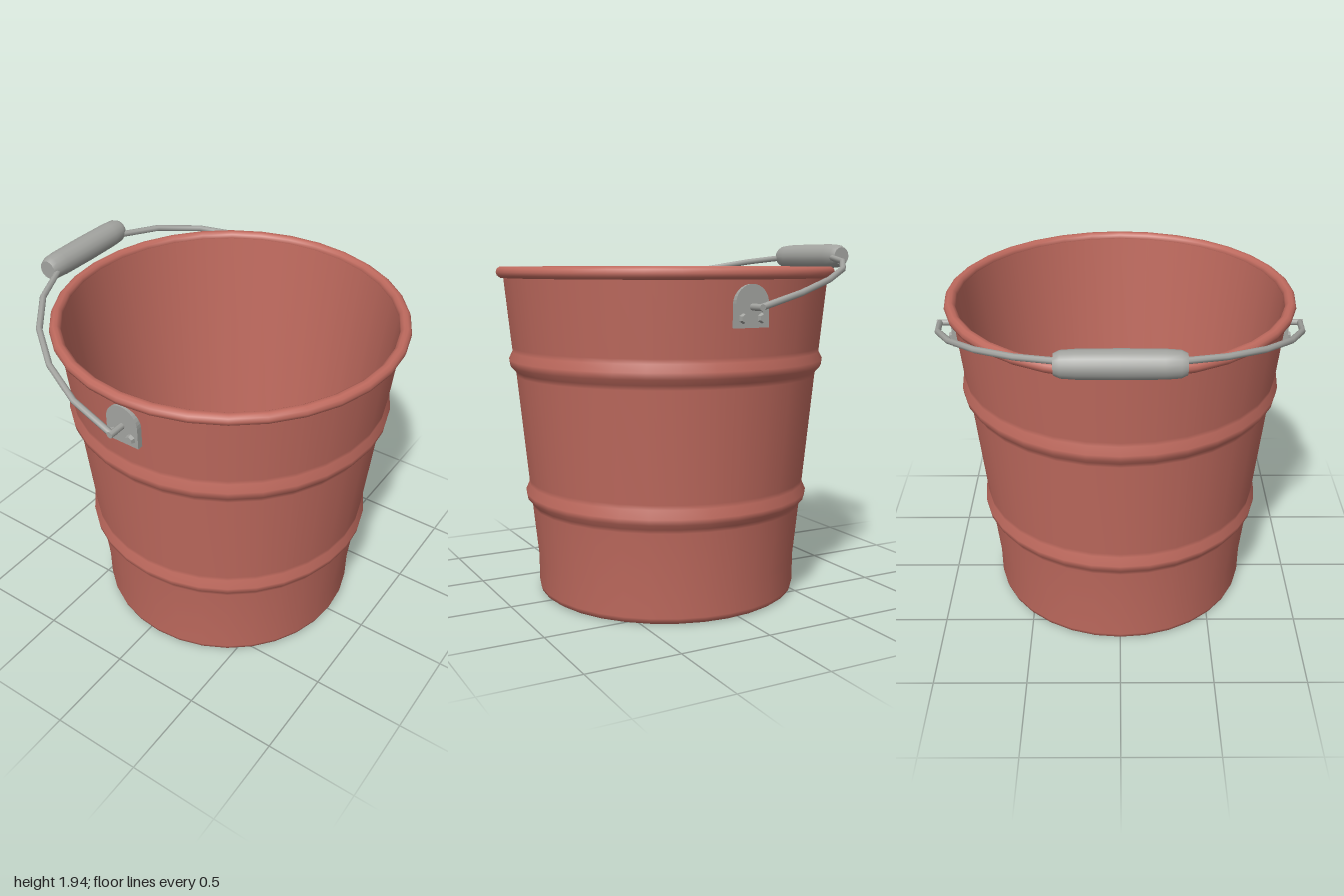
import * as THREE from 'three';

export function createModel() {
  const red = new THREE.MeshStandardMaterial({ color: 0xbf6a5e });
  red.name = 'red paint';
  const steel = new THREE.MeshStandardMaterial({ color: 0xa3a4a0 });
  steel.name = 'grey steel';

  const model = new THREE.Group();
  model.name = 'bucket';
  const body = new THREE.Group();
  body.name = 'body';
  body.position.x = 0.06; // the handle hangs to one side
  model.add(body);

  const add = (parent, name, geometry, material, x = 0, y = 0, z = 0) => {
    const mesh = new THREE.Mesh(geometry, material);
    mesh.name = name;
    mesh.position.set(x, y, z);
    parent.add(mesh);
    return mesh;
  };
  const lathe = (name, points) => add(body, name,
    new THREE.LatheGeometry(points.map(p => new THREE.Vector2(...p)), 32), red);

  // Shell: ribbed outside, plain inside, recessed base
  lathe('outerWall', [
    [0.70, 0], [0.718, 0.012], [0.725, 0.035], [0.727, 0.19], [0.758, 0.49],
    [0.763, 0.512], [0.788, 0.54], [0.792, 0.57], [0.772, 0.615], [0.774, 0.64],
    [0.831, 1.22], [0.837, 1.245], [0.865, 1.275], [0.87, 1.31], [0.85, 1.35],
    [0.853, 1.375], [0.893, 1.77],
  ]);
  lathe('innerWall', [[0.87, 1.78], [0.68, 0.08]]);
  lathe('floor', [[0.68, 0.08], [0, 0.08]]);
  lathe('baseRing', [[0.68, 0], [0.70, 0]]);
  lathe('baseLip', [[0.62, 0.06], [0.68, 0]]);
  lathe('underside', [[0, 0.06], [0.62, 0.06]]);

  // Rolled rim
  const rim = new THREE.TorusGeometry(0.9, 0.031, 10, 32);
  rim.rotateX(Math.PI / 2);
  add(body, 'rim', rim, red, 0, 1.78, 0);

  // Ear plates with bolts and pivot pins, front and back
  const plate = new THREE.Shape();
  plate.moveTo(-0.093, 1.52);
  plate.lineTo(0.093, 1.52);
  plate.lineTo(0.093, 1.637);
  plate.absarc(0, 1.637, 0.093, 0, Math.PI, false);
  plate.closePath();
  for (const side of [1, -1]) {
    const ear = new THREE.Group();
    ear.name = side > 0 ? 'frontEar' : 'backEar';
    ear.rotation.y = side > 0 ? 0 : Math.PI;
    body.add(ear);
    add(ear, 'earPlate', new THREE.ExtrudeGeometry(plate,
      { depth: 0.03, bevelEnabled: false, curveSegments: 8 }), steel, 0, 0, 0.87);
    for (const x of [-0.052, 0.052]) {
      const bolt = new THREE.CylinderGeometry(0.02, 0.028, 0.025, 6).toNonIndexed();
      bolt.computeVertexNormals();
      bolt.rotateX(Math.PI / 2);
      add(ear, 'bolt', bolt, steel, x, 1.566, 0.907);
    }
    const pin = new THREE.CylinderGeometry(0.017, 0.017, 0.11, 8);
    pin.rotateX(Math.PI / 2);
    add(ear, 'pivotPin', pin, steel, 0, 1.62, 0.935);
  }

  // Wire handle, tilted over the left of the front view
  const wire = new THREE.TorusGeometry(1, 0.017, 8, 12, Math.PI);
  wire.scale(0.975, 1.01, 1);
  wire.rotateY(Math.PI / 2);
  wire.rotateZ(1.321);
  add(body, 'handleWire', wire, steel, 0, 1.62, 0);

  // Grip: rounded sleeve on the wire, with flat ends
  const sleeve = [[0.05, -0.3], [0.064, -0.27], [0.069, -0.2], [0.071, 0],
    [0.069, 0.2], [0.064, 0.27], [0.05, 0.3]];
  const grip = new THREE.LatheGeometry(sleeve.map(p => new THREE.Vector2(...p)), 16);
  grip.rotateX(Math.PI / 2);
  add(model, 'grip', grip, steel, -0.923, 1.868, 0);
  for (const side of [1, -1]) {
    const cap = add(model, 'gripEnd', new THREE.CircleGeometry(0.05, 16), steel,
      -0.923, 1.868, 0.3 * side);
    if (side < 0) cap.rotation.y = Math.PI;
  }
  return model;
}
